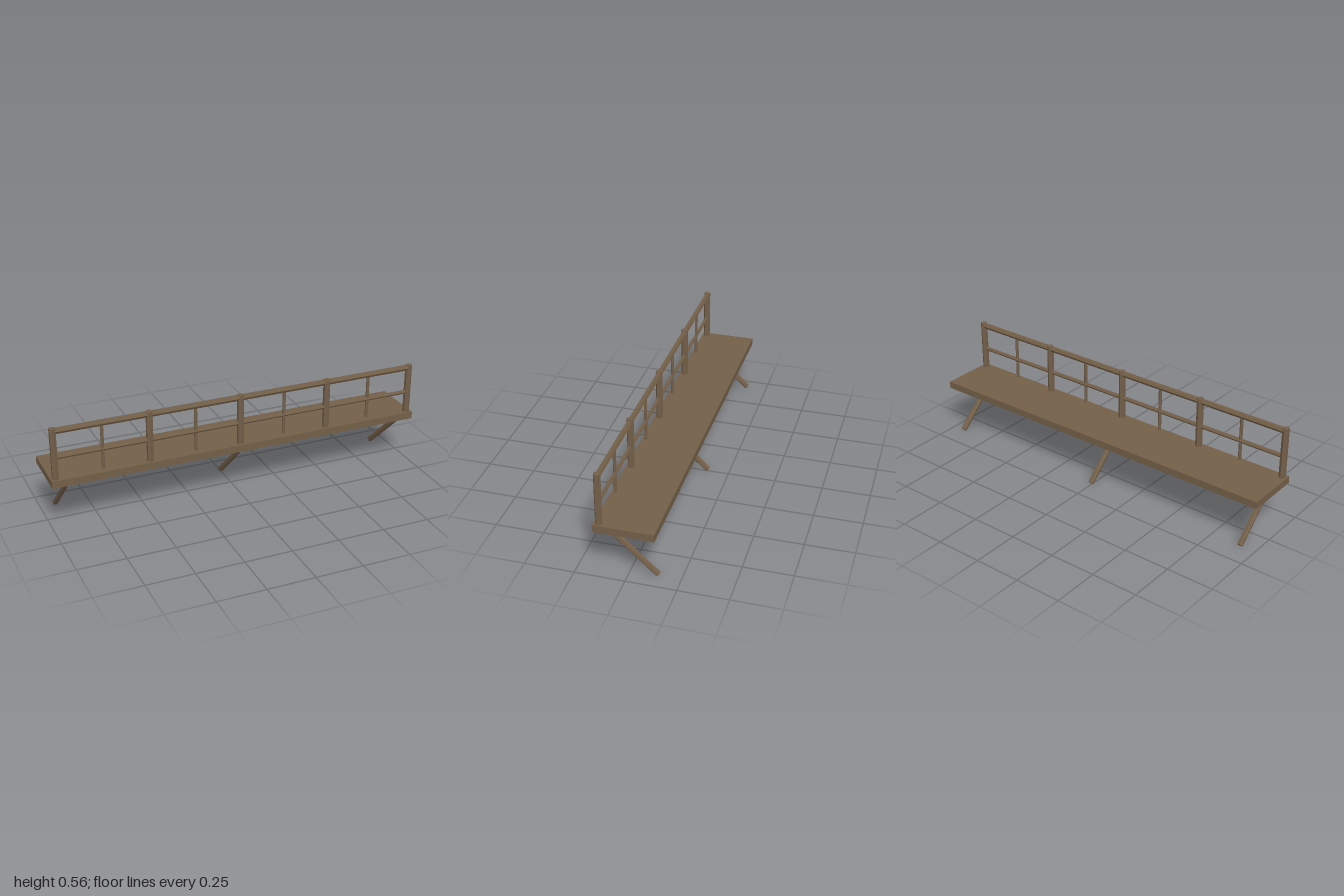
import * as THREE from 'three';

export function createModel() {
  const model = new THREE.Group();
  model.name = 'walkway';
  const wood = new THREE.MeshStandardMaterial({ color: 0x735f48 });
  wood.name = 'weathered wood';
  wood.flatShading = true;

  // Six-sided pole running between two points, turned about its own axis
  const up = new THREE.Vector3(0, 1, 0);
  function pole(name, from, to, radius, turn = 0) {
    const a = new THREE.Vector3(...from);
    const b = new THREE.Vector3(...to);
    const dir = b.clone().sub(a);
    const geometry = new THREE.CylinderGeometry(radius, radius, dir.length(), 6);
    geometry.rotateY(turn);
    const mesh = new THREE.Mesh(geometry, wood);
    mesh.name = name;
    mesh.position.copy(a).add(b).multiplyScalar(0.5);
    mesh.quaternion.setFromUnitVectors(up, dir.normalize());
    model.add(mesh);
  }

  // Deck slab
  const deck = new THREE.Mesh(new THREE.BoxGeometry(2, 0.038, 0.296), wood);
  deck.name = 'deck';
  deck.position.set(0, 0.272, 0.003);
  model.add(deck);

  // Railing posts
  const railZ = 0.125;
  const spacing = 0.4875;
  for (let i = -2; i <= 2; i++) {
    pole('railingPost', [i * spacing, 0.285, railZ], [i * spacing, 0.562, railZ], 0.0178);
  }

  // Thin balusters midway between posts
  for (let i = -1.5; i <= 1.5; i++) {
    pole('baluster', [i * spacing, 0.301, railZ], [i * spacing, 0.535, railZ], 0.0085);
  }

  // Top and middle rails
  pole('topRail', [-0.975, 0.546, railZ], [0.975, 0.546, railZ], 0.0155);
  pole('middleRail', [-0.975, 0.406, railZ], [0.975, 0.406, railZ], 0.0105);

  // Slanted struts running down and back from under the front edge
  for (const x of [-0.92, 0, 0.92]) {
    pole('supportStrut', [x, 0.011, -0.139], [x, 0.244, 0.11], 0.0153, Math.PI / 12);
  }

  return model;
}
